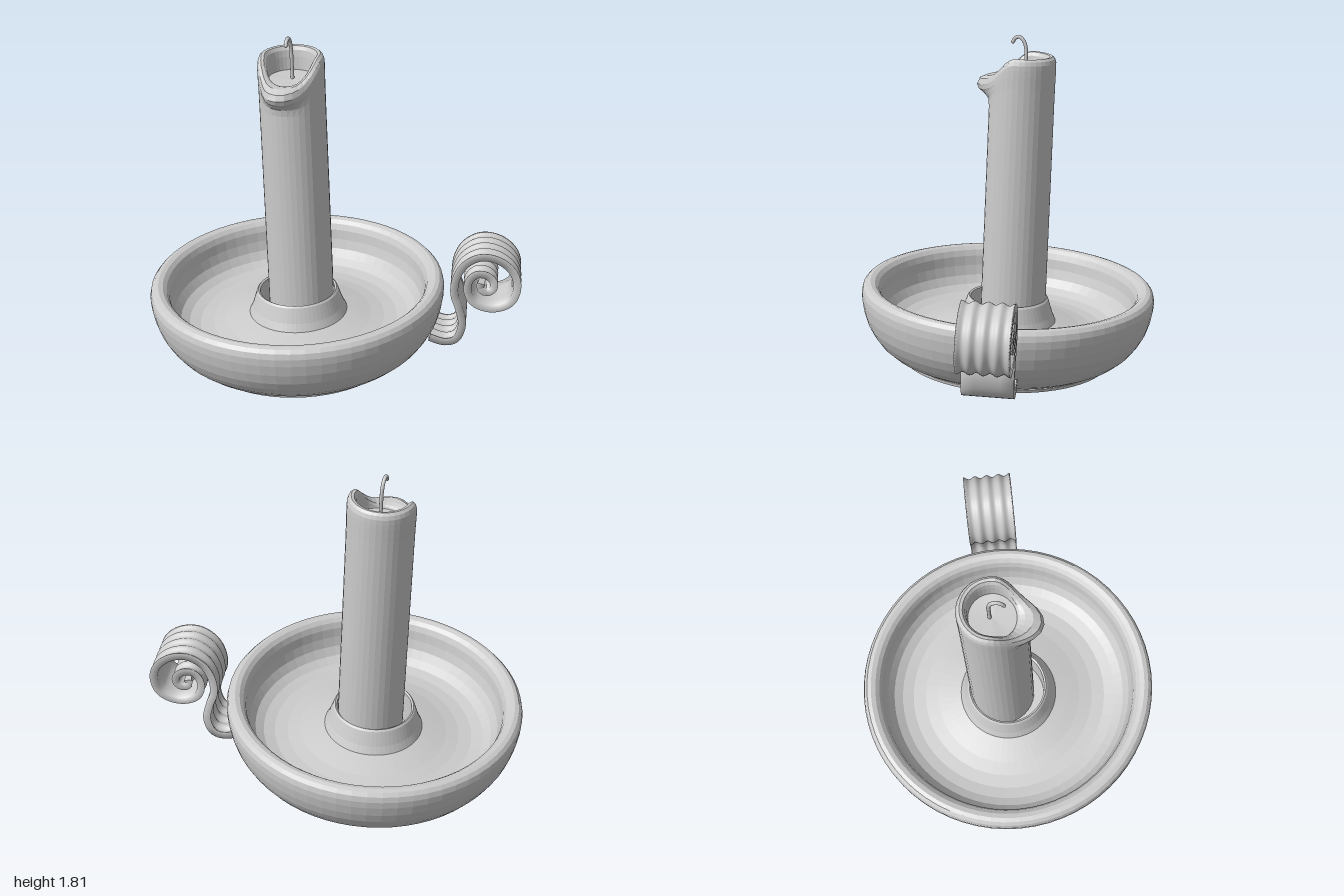
import * as THREE from 'three';

const smooth = new THREE.MeshStandardMaterial({ color: 0xcccccc });
const faceted = new THREE.MeshStandardMaterial({ color: 0xcccccc, flatShading: true });

function add(parent, name, geometry, material) {
  const mesh = new THREE.Mesh(geometry, material);
  mesh.name = name;
  parent.add(mesh);
  return mesh;
}

// Skin a list of closed rings, each an array of [x, y, z]
function loft(rings) {
  const n = rings[0].length, index = [];
  for (let i = 0; i < rings.length - 1; i++) {
    for (let j = 0; j < n; j++) {
      const k = (j + 1) % n, a = i * n, b = a + n;
      index.push(a + j, a + k, b + k, a + j, b + k, b + j);
    }
  }
  const g = new THREE.BufferGeometry();
  g.setAttribute('position', new THREE.Float32BufferAttribute(rings.flat(2), 3));
  g.setIndex(index);
  g.computeVertexNormals();
  return g;
}

const lathe = (pts, seg) => new THREE.LatheGeometry(pts.map(p => new THREE.Vector2(...p)), seg);

// Candle: rings of [back height, front height, radius, extra reach of the spout]
function candleGeometry() {
  const profile = [
    [0.13, 0.13, 0, 0], [0.13, 0.13, 0.178, 0], [1.4, 1.4, 0.173, 0], [1.52, 1.435, 0.173, 0.006],
    [1.59, 1.462, 0.174, 0.035], [1.62, 1.482, 0.174, 0.065], [1.645, 1.507, 0.173, 0.077],
    [1.665, 1.538, 0.166, 0.07], [1.677, 1.556, 0.153, 0.045], [1.674, 1.555, 0.138, 0.02],
    [1.655, 1.548, 0.127, 0.005], [1.62, 1.542, 0.122, 0], [1.55, 1.535, 0.118, 0], [1.54, 1.54, 0, 0],
  ];
  const seg = 36;
  return loft(profile.map(([back, front, r, reach]) =>
    Array.from({ length: seg }, (_, j) => {
      const t = j / seg * Math.PI * 2, c = Math.cos(t);
      const rad = r + reach * Math.max(0, c) ** 7;
      const y = THREE.MathUtils.lerp(back, front, THREE.MathUtils.smoothstep(c, 0, 1.08));
      return [rad * Math.sin(t), y, rad * c];
    })));
}

// Handle: a ribbon, ribbed on one face, swept along a scroll
function handleGeometry() {
  const path = [
    [0.53, 0.185], [0.61, 0.163], [0.675, 0.19], [0.705, 0.28], [0.688, 0.38], [0.665, 0.46],
    [0.672, 0.55], [0.715, 0.635], [0.795, 0.686], [0.885, 0.676], [0.957, 0.618], [0.983, 0.535],
    [0.96, 0.445], [0.9, 0.4], [0.83, 0.392], [0.765, 0.42], [0.735, 0.475], [0.738, 0.54],
    [0.775, 0.583], [0.825, 0.583], [0.86, 0.55], [0.858, 0.507], [0.825, 0.487], [0.797, 0.51],
    [0.803, 0.535],
  ];
  const curve = new THREE.SplineCurve(path.map(([x, y]) =>
    new THREE.Vector2((x + 0.18) / 0.978, y - 0.033 - 0.043 * (x + 0.2))));
  const section = [], half = 0.133, steps = 32;
  for (let i = 0; i <= steps; i++) {
    const t = i / steps * 2 - 1;
    section.push([0.01 + 0.014 * Math.cos(t * Math.PI * 2) ** 2, t * half]);
  }
  for (let i = 0; i <= 4; i++) section.push([-0.018, half * (1 - i / 2)]);

  const rings = [], count = 120;
  for (let i = 0; i <= count; i++) {
    const p = curve.getPointAt(i / count), d = curve.getTangentAt(i / count);
    const ring = section.map(([n, w]) => [p.x - d.y * n, p.y + d.x * n, w]);
    const cap = section.map(() => [p.x, p.y, 0]);
    if (i === 0) rings.push(cap, ring);
    rings.push(ring);
    if (i === count) rings.push(ring, cap);
  }
  return loft(rings);
}

export function createModel() {
  const model = new THREE.Group();
  model.name = 'candleHolder';

  // Everything leans slightly together
  const tilted = new THREE.Group();
  tilted.name = 'tiltedAssembly';
  tilted.position.set(-0.187, 0.03, 0.01);
  tilted.rotation.set(-0.025, 0, 0.042);
  model.add(tilted);

  // Dish: recessed foot, round wall, thick rolled lip, shallow bowl and raised socket
  add(tilted, 'dish', lathe([
    [0, 0.012], [0.55, 0.012], [0.555, 0], [0.58, 0], [0.585, 0.018], [0.57, 0.025],
    [0.615, 0.035], [0.66, 0.06], [0.705, 0.1], [0.74, 0.148], [0.768, 0.2], [0.787, 0.26],
    [0.798, 0.32], [0.8, 0.36], [0.793, 0.39], [0.777, 0.408], [0.755, 0.414], [0.73, 0.407],
    [0.71, 0.388], [0.697, 0.355], [0.69, 0.3], [0.675, 0.245], [0.645, 0.2], [0.6, 0.173],
    [0.54, 0.161], [0.47, 0.163], [0.4, 0.175], [0.33, 0.193], [0.267, 0.208],
    [0.248, 0.25], [0.222, 0.33], [0.213, 0.34], [0.203, 0.334], [0.2, 0.15], [0, 0.15],
  ], 64), faceted);

  const handle = add(tilted, 'scrollHandle', handleGeometry(), smooth);
  handle.rotation.y = 0.21;

  const candle = new THREE.Group();
  candle.name = 'candle';
  candle.position.set(0.009, 0, -0.035);
  tilted.add(candle);
  add(candle, 'candleBody', candleGeometry(), faceted);

  // Wick: upright, hooked towards the front
  const wickPath = new THREE.CatmullRomCurve3([
    [1.5, -0.015], [1.62, -0.014], [1.71, -0.012], [1.75, 0.002], [1.771, 0.028],
    [1.762, 0.05], [1.742, 0.062],
  ].map(([y, z]) => new THREE.Vector3(0, y, z)));
  add(candle, 'wick', new THREE.TubeGeometry(wickPath, 32, 0.01, 8), smooth);
  const tip = add(candle, 'wickTip', new THREE.SphereGeometry(0.01, 8, 6), smooth);
  tip.position.set(0, 1.742, 0.062);

  return model;
}
